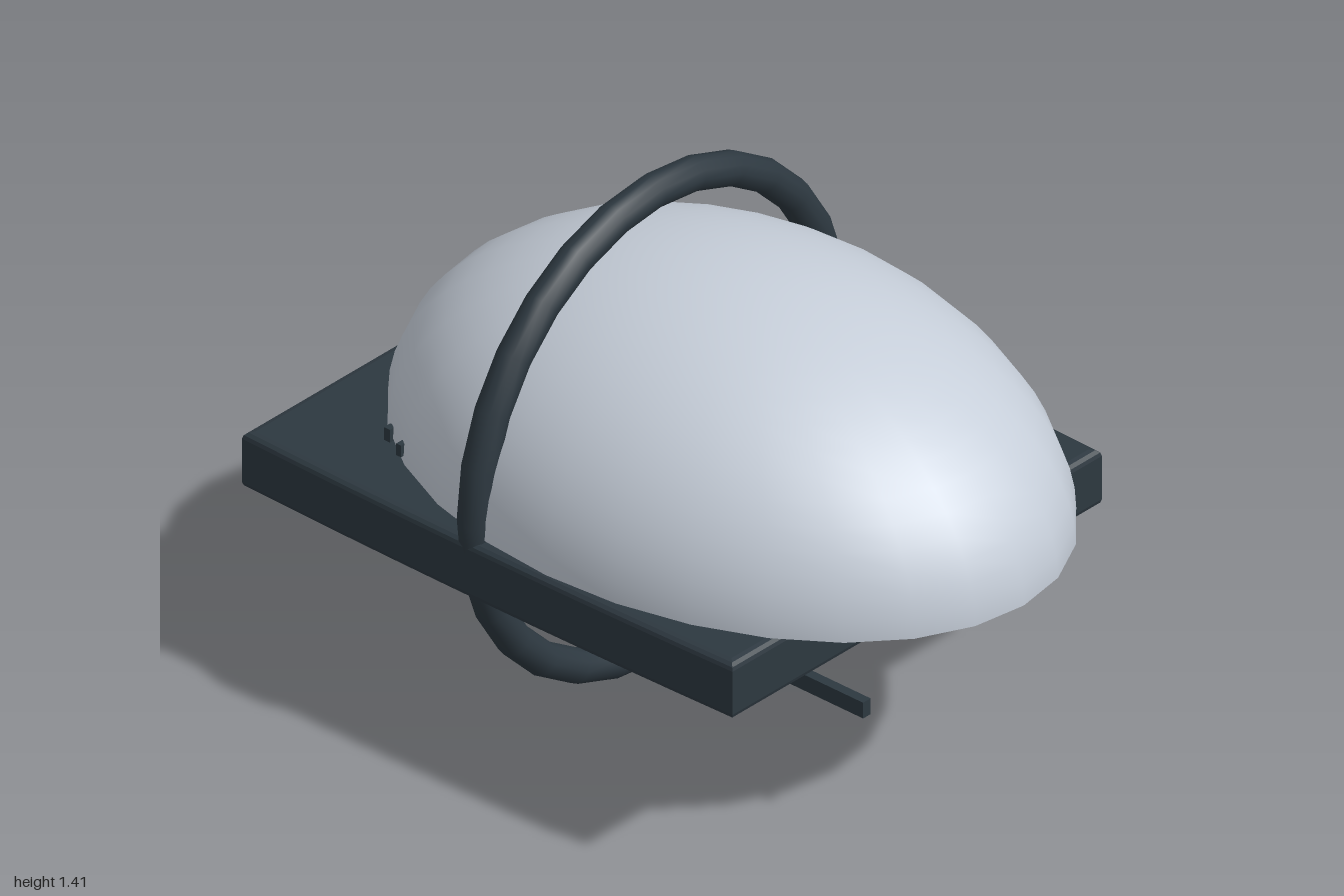
import * as THREE from 'three';

export function createModel() {
  const model = new THREE.Group();
  const shell = new THREE.MeshStandardMaterial({ color: 0xc6ced9 });
  shell.name = 'pale grey shell';
  const dark = new THREE.MeshStandardMaterial({ color: 0x2d3840 });
  dark.name = 'dark slate';

  function add(name, geometry, material, x = 0, y = 0, z = 0) {
    const mesh = new THREE.Mesh(geometry, material);
    mesh.name = name;
    mesh.position.set(x, y, z);
    model.add(mesh);
    return mesh;
  }
  // Box given by its extents on each axis
  function box(name, [x0, x1], [y0, y1], [z0, z1]) {
    return add(name, new THREE.BoxGeometry(x1 - x0, y1 - y0, z1 - z0), dark,
      (x0 + x1) / 2, (y0 + y1) / 2, (z0 + z1) / 2);
  }

  // Half-ellipsoid canopy with a flat underside
  const domeSides = 28;
  const dome = add('dome', new THREE.SphereGeometry(1, domeSides, 16, 0, Math.PI * 2, 0, Math.PI / 2),
    shell, 0.022, 0.672, 0);
  dome.scale.set(0.977, 0.58, 0.69);
  const base = add('domeUnderside', new THREE.CircleGeometry(1, domeSides).rotateX(Math.PI / 2),
    shell, 0.022, 0.672, 0);
  base.scale.set(0.977, 1, 0.69);

  // Deck plate: slightly bowed long sides and a small bevel
  const bevel = 0.02;
  const outline = new THREE.Shape();
  outline.moveTo(-0.975, -0.662);
  outline.quadraticCurveTo(-0.18, -0.686, 0.618, -0.662);
  outline.lineTo(0.618, 0.662);
  outline.quadraticCurveTo(-0.18, 0.686, -0.975, 0.662);
  outline.closePath();
  const plate = new THREE.ExtrudeGeometry(outline, {
    depth: 0.126, bevelThickness: bevel, bevelSize: bevel + 0.004, bevelSegments: 3, curveSegments: 10,
  });
  plate.rotateX(-Math.PI / 2);
  add('deckPlate', plate, dark, 0, 0.519, 0);

  // Upright hoop around the body
  add('hoop', new THREE.TorusGeometry(0.661, 0.046, 12, 28).rotateY(Math.PI / 2), dark, -0.242, 0.708, 0);

  // Underside brackets, crossbar and front strip
  for (const s of [-1, 1]) {
    const x = s * 0.28;
    box('bracket', [x - 0.034, x + 0.034], [0.33, 0.51], [0, 0.305]);
    box('peg', [s * 0.37 - 0.026, s * 0.37 + 0.026], [0.405, 0.435], [0.3, 0.35]);
  }
  box('crossbar', [-0.695, 0.69], [0.33, 0.376], [0.226, 0.254]);
  box('frontStrip', [-0.23, 0.235], [0.452, 0.51], [0.452, 0.468]);

  // Tiny fittings on both flanks of the dome
  for (const s of [-1, 1]) {
    box('lowerFitting', [-0.712, -0.692], [0.66, 0.702], [s * 0.465 - 0.012, s * 0.465 + 0.012]);
    box('upperFitting', [-0.614, -0.598], [0.69, 0.724], [s * 0.528 - 0.012, s * 0.528 + 0.012]);
  }

  return model;
}
